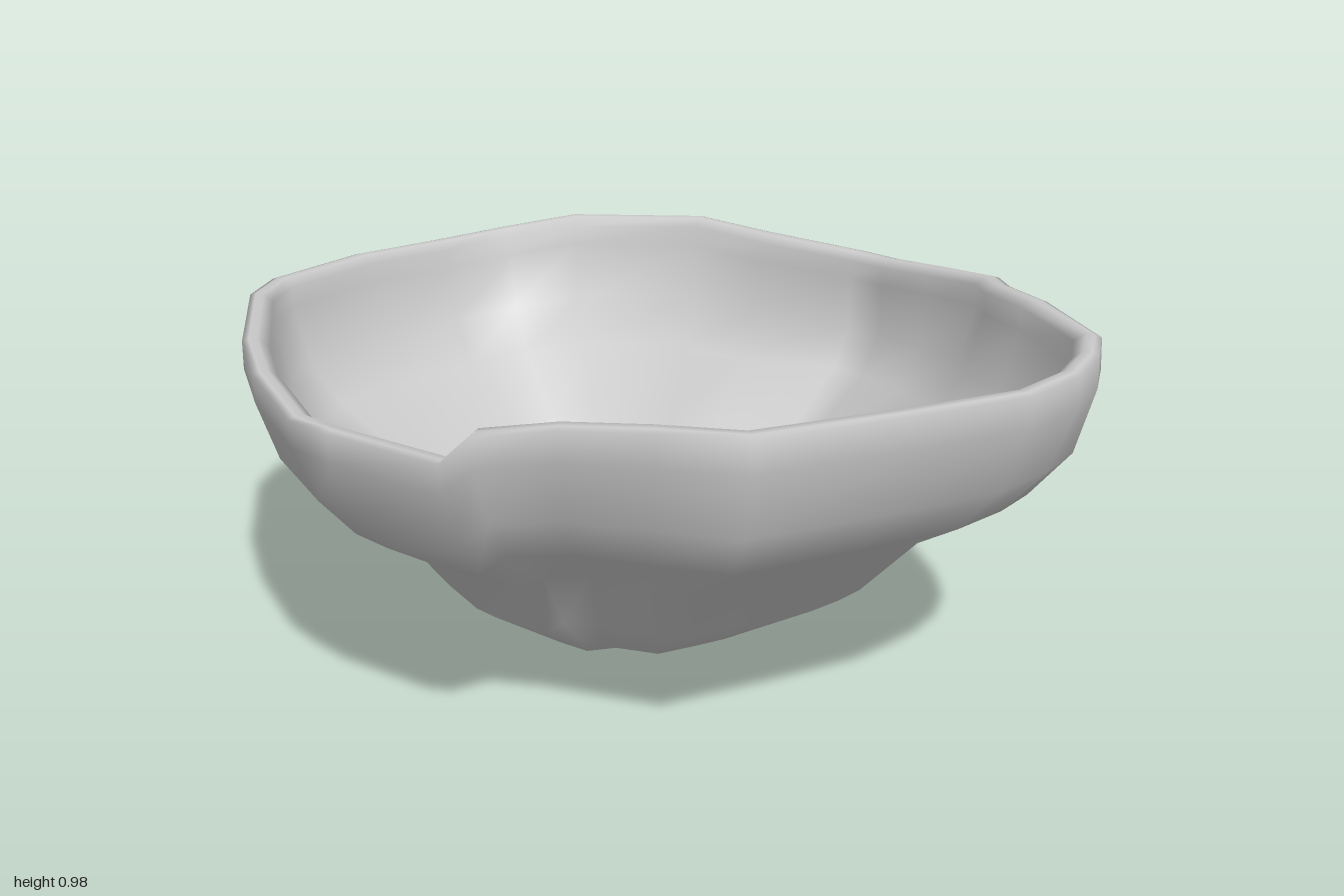
import * as THREE from 'three';
import { mergeVertices } from 'three/addons/utils/BufferGeometryUtils.js';

// Rim outline: x, z, rim height, bulge of the wall below it
const RIM = [
  [0.835, -0.09, 0.865, 0.95], [0.84, 0.03, 0.875, 0.9], [0.84, 0.2, 0.9, 0.7],
  [0.835, 0.38, 0.925, 0.3], [0.765, 0.48, 0.945, 0.2], [0.735, 0.62, 0.955, 0.25],
  [0.63, 0.87, 0.97, 0.25], [0.54, 0.94, 0.97, 0.2], [0.43, 0.99, 0.97, 0.05],
  [0.28, 1, 0.965, 0], [0, 0.95, 0.975, 0], [-0.33, 0.86, 0.98, 0.1],
  [-0.45, 0.71, 0.97, 0], [-0.58, 0.57, 0.96, -0.2], [-0.7, 0.45, 0.935, -0.25],
  [-0.76, 0.42, 0.88, -0.15], [-0.86, 0.15, 0.875, -0.12], [-0.88, 0.02, 0.865, -0.12],
  [-0.83, -0.25, 0.865, 0], [-0.76, -0.45, 0.865, 0.08], [-0.6, -0.74, 0.86, 0.2],
  [-0.49, -0.84, 0.85, 0.2], [-0.2, -0.94, 0.83, 0.12], [0.08, -1, 0.8, 0.1],
  [0.3, -0.99, 0.8, 0.08], [0.47, -0.89, 0.83, 0], [0.69, -0.59, 0.86, 0],
  [0.74, -0.36, 0.865, 0.12],
];

// Wall profile: radius fraction, height fraction, bulge weight, inset, lift
const OUTER = [
  [0, 0, 0, 0, 0], [0.08, 0.05, 0, 0, 0], [0.28, 0.14, 0.04, 0, 0],
  [0.52, 0.31, 0.13, 0, 0], [0.65, 0.49, 0.18, 0, 0], [0.86, 0.64, 0.14, 0, 0],
  [0.95, 0.76, 0.1, 0, 0], [1, 0.92, 0.02, 0, 0],
];
const LIP = [
  [1, 0.995, 0, 0, 0], [1, 1, 0, 0.015, 0], [1, 1, 0, 0.035, 0], [1, 0.98, 0, 0.058, 0],
];
// The inside follows the outside at a constant wall thickness
const INNER = OUTER.slice().reverse().map(([f, h, b]) => [f, h, b * 0.7, 0.058 * Math.min(1, f * 2), 0.03 * (1 - h)]);

function bowlGeometry(profile) {
  const n = RIM.length, pos = [], index = [];
  for (const [f, h, weight, inset, lift] of profile) {
    for (const [x, z, y, bulge] of RIM) {
      const s = f + weight * bulge - inset / Math.hypot(x, z);
      // The back wall sags a little at mid height
      const sag = 0.13 * h * (1 - h) * Math.min(0, z);
      pos.push(x * s, y * h + lift + sag, z * s + 0.02 * (1 - f));
    }
  }
  for (let i = 0; i < profile.length - 1; i++) {
    for (let j = 0; j < n; j++) {
      const a = i * n + j, b = i * n + (j + 1) % n;
      const c = a + n, d = b + n;
      if (profile[i][0] > 0) index.push(a, c, b);
      if (profile[i + 1][0] > 0) index.push(b, c, d);
    }
  }
  const geometry = new THREE.BufferGeometry();
  geometry.setAttribute('position', new THREE.Float32BufferAttribute(pos, 3));
  geometry.setIndex(index);
  const merged = mergeVertices(geometry, 1e-5);
  merged.computeVertexNormals();
  return merged;
}

export function createModel() {
  const group = new THREE.Group();
  group.name = 'bowl';
  const material = new THREE.MeshStandardMaterial({ color: 0xcccccc });
  // Outer wall, rounded lip and inner wall as one continuous shell
  const shell = new THREE.Mesh(bowlGeometry([...OUTER, ...LIP, ...INNER]), material);
  shell.name = 'bowlShell';
  group.add(shell);
  return group;
}
